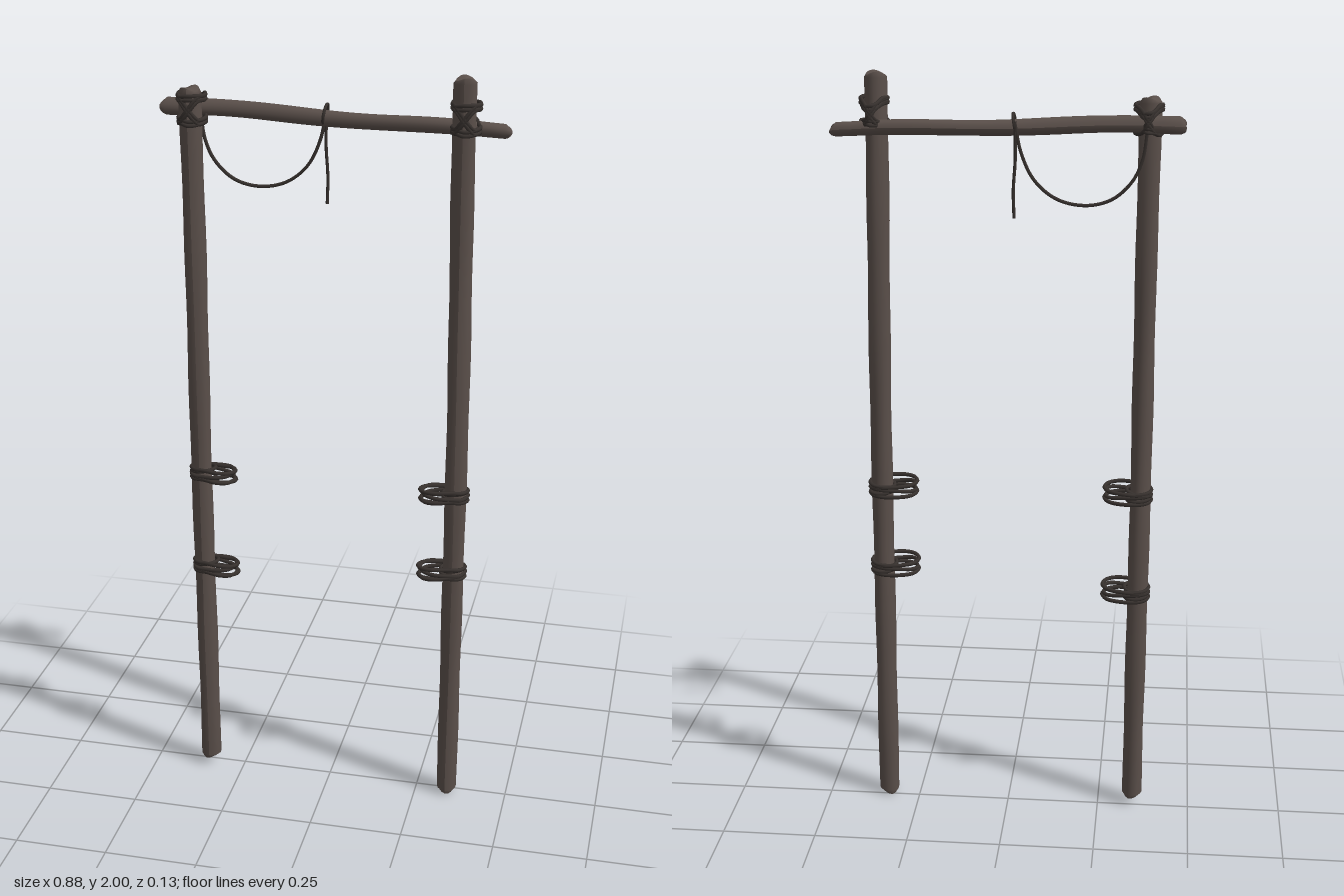
import * as THREE from 'three';

const wood = new THREE.MeshStandardMaterial({ color: 0x5a4f4a });
wood.name = 'weathered wood';
const ropeMat = new THREE.MeshStandardMaterial({ color: 0x37312e });
ropeMat.name = 'dark rope';

const V = (x, y, z) => new THREE.Vector3(x, y, z);

// Rough round log standing on y = 0, with worn, rounded ends and a slight bend
function log(name, length, rBottom, rTop, bend, phase) {
  const rows = 32;
  const geo = new THREE.CylinderGeometry(rTop, rBottom, length, 14, rows);
  const p = geo.attributes.position;
  for (let i = 0; i < p.count; i++) {
    const x = p.getX(i), z = p.getZ(i);
    const y = p.getY(i) + length / 2;
    const a = Math.atan2(z, x);
    const end = Math.min(y, length - y);
    let k = 1 + 0.04 * Math.sin(3 * a + y * 5 + phase) + 0.03 * Math.sin(y * 17 + phase * 2);
    if (end < 0.001) k *= 0.8;
    // uneven cut at each end
    const cut = end < 0.001 && Math.hypot(x, z) > 0.001 ? 0.005 * Math.sin(2 * a + phase) : 0;
    const yy = end < 0.001 ? (y < length / 2 ? 0.005 + cut : length - 0.005 - cut)
      : end < length / rows + 0.001 ? (y < length / 2 ? 0.015 : length - 0.015) : y;
    const [bx, bz] = bend(y / length);
    p.setXYZ(i, x * k + bx, yy, z * k + bz);
  }
  geo.computeVertexNormals();
  const mesh = new THREE.Mesh(geo, wood);
  mesh.name = name;
  return mesh;
}

function rope(name, points, radius, closed = false, segments = 48) {
  const curve = new THREE.CatmullRomCurve3(points, closed, 'centripetal');
  const mesh = new THREE.Mesh(new THREE.TubeGeometry(curve, segments, radius, 6, closed), ropeMat);
  mesh.name = name;
  return mesh;
}

// Coil around a post that hangs out in a loop toward the middle
function sideCoil(name, x, y, dir) {
  const g = new THREE.Group();
  g.name = name;
  const outline = [[-0.033, 0.012], [-0.02, 0.041], [0.005, 0.05], [0.05, 0.056], [0.078, 0.047],
    [0.091, 0.02], [0.078, -0.008], [0.045, -0.02], [0, -0.021], [-0.024, -0.01]];
  for (let s = 0; s < 4; s++) {
    const off = (s - 1.5) * 0.009, grow = 1 - 0.03 * (s % 3);
    g.add(rope('coilStrand', outline.map(([px, pz], i) => V(
      dir * px * (px > 0.04 ? grow : 1),
      off + 0.006 * Math.sin(i * 0.63 + s * 2.1),
      pz + (px > 0.04 ? (s % 2) * 0.004 : 0))), 0.0052, true));
  }
  // tight wraps around the post itself
  for (const h of [-0.009, 0.009]) {
    const ring = [];
    for (let i = 0; i < 10; i++) {
      const a = i / 10 * Math.PI * 2;
      ring.push(V(0.032 * Math.cos(a), h + 0.005 * Math.sin(a + h * 100), 0.012 + 0.032 * Math.sin(a)));
    }
    g.add(rope('coilWrap', ring, 0.005, true, 30));
  }
  g.position.set(x, y, 0);
  return g;
}

// Crossed lashing tying the beam to a post
function lashing(name, x, y) {
  const g = new THREE.Group();
  g.name = name;
  const outline = [[0, 0.046], [0.023, 0.037], [0.034, 0.012], [0.026, -0.022], [0.012, -0.052],
    [0, -0.06], [-0.012, -0.052], [-0.026, -0.022], [-0.034, 0.012], [-0.023, 0.037]];
  for (const side of [-1, 1]) {
    for (const shift of [-0.005, 0.005]) {
      // over the beam on one flank and under it on the other
      g.add(rope('diagonalStrand', outline.map(([px, pz]) => V(
        px, side * Math.max(-0.028, Math.min(0.028, px * 1.5)) + shift, pz)), 0.005, true));
      // level wraps above and below the beam
      g.add(rope('levelStrand', outline.map(([px, pz], i) => V(
        px, side * (pz < -0.03 ? 0.018 : 0.029) + shift + 0.003 * Math.sin(i + side), pz)), 0.005, true));
    }
  }
  g.position.set(x, y, 0);
  return g;
}

export function createModel() {
  const model = new THREE.Group();
  model.name = 'ropeTiedFrame';

  // Posts
  const rightPost = log('rightPost', 1.925, 0.027, 0.028, t => [-0.006 * t, 0.003 * Math.sin(t * 6)], 0.6);
  rightPost.position.set(-0.345, 0.02, 0.014);
  const leftPost = log('leftPost', 2.0, 0.027, 0.029, t => [0.003 * Math.sin(t * 5), 0.002 * Math.sin(t * 7)], 2.3);
  leftPost.position.set(0.335, 0, 0.014);
  model.add(rightPost, leftPost);

  // Crossbeam, tapering toward the left end
  const beam = log('crossbeam', 0.88, 0.022, 0.018,
    t => [-(0.022 * t * t - 0.004 * Math.sin(t * 9)), 0.003 * Math.sin(t * 6)], 1.1);
  beam.rotation.z = -Math.PI / 2;
  beam.scale.x = -1;
  beam.scale.z = -1;
  beam.position.set(-0.44, 1.88, -0.036);
  model.add(beam);

  // Lashings
  model.add(lashing('rightLashing', -0.347, 1.89), lashing('leftLashing', 0.335, 1.9));

  // Side coils
  model.add(
    sideCoil('rightUpperCoil', -0.344, 0.912, 1),
    sideCoil('rightLowerCoil', -0.343, 0.636, 1),
    sideCoil('leftUpperCoil', 0.336, 0.912, -1),
    sideCoil('leftLowerCoil', 0.335, 0.69, -1));

  // Slack rope from the right lashing to the knot, and its loose end
  model.add(rope('slackRope', [V(-0.345, 1.87, -0.058), V(-0.335, 1.8, -0.055), V(-0.31, 1.745, -0.054),
    V(-0.26, 1.7, -0.054), V(-0.195, 1.685, -0.054), V(-0.125, 1.7, -0.054), V(-0.07, 1.745, -0.054),
    V(-0.038, 1.81, -0.055), V(-0.022, 1.885, -0.059)], 0.0045));
  const knot = [];
  for (let i = 0; i < 10; i++) {
    const a = i / 10 * Math.PI * 2;
    knot.push(V(-0.02 + 0.004 * Math.sin(a), 1.882 + 0.024 * Math.sin(a), -0.036 + 0.024 * Math.cos(a)));
  }
  model.add(rope('beamKnot', knot, 0.004, true));
  model.add(rope('looseEnd', [V(-0.022, 1.89, -0.059), V(-0.023, 1.8, -0.056),
    V(-0.018, 1.72, -0.054), V(-0.02, 1.65, -0.055)], 0.004, false, 16));

  return model;
}
